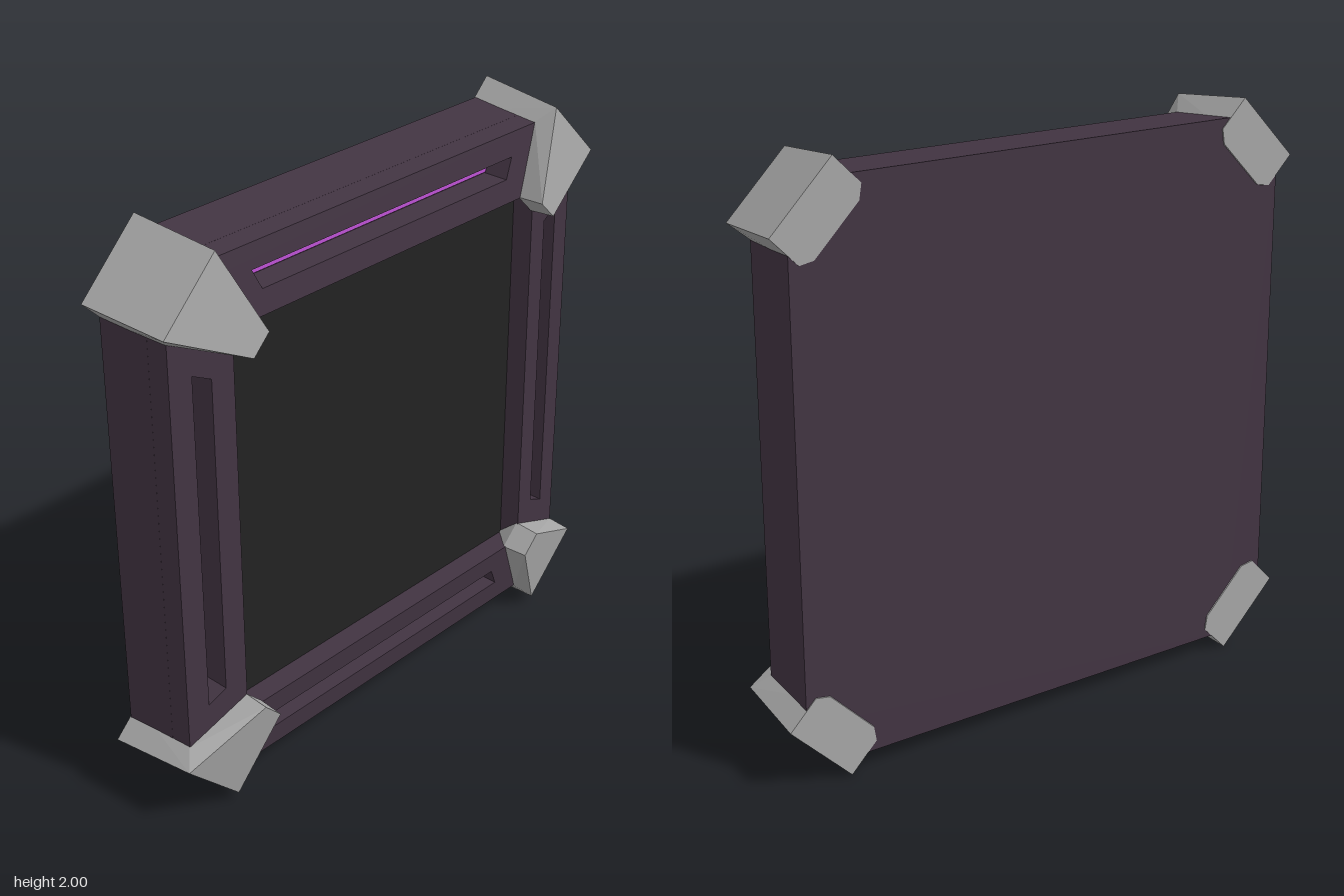
import * as THREE from 'three';
import { ConvexGeometry } from 'three/addons/geometries/ConvexGeometry.js';

const mat = (name, color) => new THREE.MeshStandardMaterial({ name, color, flatShading: true });

// Polygon from corner points
const outline = (pts) => pts.map(([x, y]) => new THREE.Vector2(x, y));

// Extruded plate running from z0 to z1
function plate(shape, z0, z1) {
  const g = new THREE.ExtrudeGeometry(shape, { depth: z1 - z0, bevelEnabled: false });
  return g.translate(0, 0, z0);
}

function part(name, geometry, material) {
  const m = new THREE.Mesh(geometry, material);
  m.name = name;
  return m;
}

// Moves each vertex by a rule and refreshes the flat normals
function reshape(geometry, rule) {
  const p = geometry.attributes.position;
  const v = new THREE.Vector3();
  for (let i = 0; i < p.count; i++) {
    rule(v.fromBufferAttribute(p, i));
    p.setXYZ(i, v.x, v.y, v.z);
  }
  geometry.computeVertexNormals();
  return geometry;
}

// Square backing slab with cut corners, tapering slightly to the front
function slabGeometry() {
  const a = 0.94, c = 0.785;
  const shape = new THREE.Shape(outline([
    [a, -c], [a, c], [c, a], [-c, a], [-a, c], [-a, -c], [-c, -a], [c, -a],
  ]));
  return reshape(plate(shape, -0.187, 0), (v) => {
    if (v.z > -0.1) { v.x *= 0.985; v.y *= 0.985; }
  });
}

// Mitred frame bar (the upper one) with a slot and a sloping front
function barGeometry() {
  const shape = new THREE.Shape(outline([
    [-0.69, 0.69], [0.69, 0.69], [0.863, 0.863], [0.8, 0.926], [-0.8, 0.926], [-0.863, 0.863],
  ]));
  shape.holes.push(new THREE.Path(outline([
    [-0.557, 0.771], [-0.59, 0.839], [0.59, 0.839], [0.557, 0.771],
  ])));
  return reshape(plate(shape, -0.005, 0.075), (v) => {
    if (v.z < 0.05) return;
    v.z += ((0.926 - v.y) / 0.236) * 0.027;
    if (v.y > 0.92) v.y = 0.92;
  });
}

// Glowing strip on the floor of the slot
function stripGeometry() {
  const shape = new THREE.Shape(outline([
    [-0.553, 0.776], [0.553, 0.776], [0.583, 0.834], [-0.583, 0.834],
  ]));
  return plate(shape, -0.002, 0.006);
}

// Corner guard: [distance along the diagonal, half width, depth]
function guardGeometry() {
  const sections = [
    [1.262, 0.152, -0.19], [1.13, 0.152, -0.19], [1.10, 0.11, -0.19],
    [1.228, 0.146, 0.125], [1.16, 0.144, 0.075],
    [0.933, 0.045, 0.19], [0.928, 0.05, 0.095],
  ];
  const pts = [];
  for (const [s, t, z] of sections) {
    for (const side of [-1, 1]) {
      pts.push(new THREE.Vector3((s + side * t) * Math.SQRT1_2, (s - side * t) * Math.SQRT1_2, z));
    }
  }
  return new ConvexGeometry(pts);
}

export function createModel() {
  const frameMat = mat('dark plum', 0x423442);
  const panelMat = mat('near black', 0x222222);
  const guardMat = mat('grey metal', 0xa6a6a6);
  const glowMat = mat('violet', 0xbd52d4);

  const model = new THREE.Group();
  model.name = 'wallPanel';

  // Built facing +z, then turned to face +x
  const body = new THREE.Group();
  body.name = 'panelBody';
  body.position.y = 1;
  body.rotation.y = Math.PI / 2;
  model.add(body);

  body.add(part('backSlab', slabGeometry(), frameMat));

  // Recessed centre panel
  const centre = new THREE.BoxGeometry(1.39, 1.39, 0.03).translate(0, 0, 0.007);
  body.add(part('centrePanel', centre, panelMat));

  // Four sides, each with a bar, a strip and a corner guard
  const bar = barGeometry(), strip = stripGeometry(), guard = guardGeometry();
  for (let i = 0; i < 4; i++) {
    const side = new THREE.Group();
    side.name = 'frameSide' + (i + 1);
    side.rotation.z = (i * Math.PI) / 2;
    side.add(
      part('frameBar', bar, frameMat),
      part('lightStrip', strip, glowMat),
      part('cornerGuard', guard, guardMat),
    );
    body.add(side);
  }
  return model;
}
